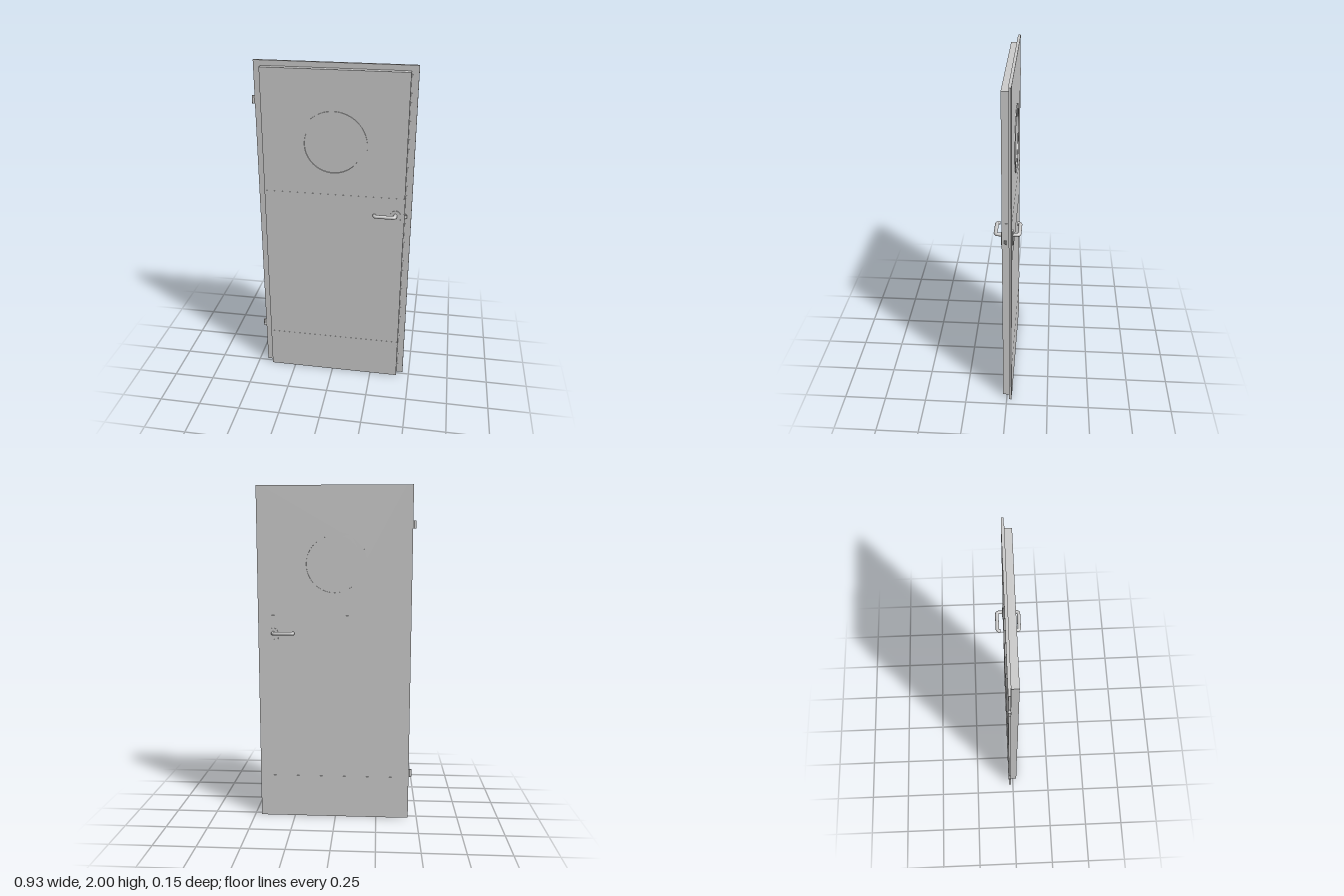
import * as THREE from 'three';
import { toCreasedNormals } from 'three/addons/utils/BufferGeometryUtils.js';

const material = new THREE.MeshStandardMaterial({ color: 0xcccccc });
const WINDOW = { x: 0.005, y: 1.55, inner: 0.165, outer: 0.193 };

function add(parent, name, geometry, x = 0, y = 0, z = 0) {
  const mesh = new THREE.Mesh(geometry, material);
  mesh.name = name;
  mesh.position.set(x, y, z);
  parent.add(mesh);
  return mesh;
}

// Box given by its limits on each axis
function block(parent, name, [x0, x1], [y0, y1], [z0, z1]) {
  return add(parent, name, new THREE.BoxGeometry(x1 - x0, y1 - y0, z1 - z0),
    (x0 + x1) / 2, (y0 + y1) / 2, (z0 + z1) / 2);
}

// Flat shape extruded between two depths, smooth round a curve, sharp at the rims
function slab(parent, name, shape, z0, z1) {
  const geometry = new THREE.ExtrudeGeometry(shape, { depth: z1 - z0, bevelEnabled: false, curveSegments: 48 });
  return add(parent, name, toCreasedNormals(geometry, 0.5), 0, 0, z0);
}

function circlePath(radius, Type = THREE.Path) {
  return new Type().absarc(WINDOW.x, WINDOW.y, radius, 0, Math.PI * 2, false);
}

// Rectangular door leaf with the round window cut out
function leafShape(x0, x1, top) {
  const shape = new THREE.Shape([
    new THREE.Vector2(x0, 0), new THREE.Vector2(x1, 0),
    new THREE.Vector2(x1, top), new THREE.Vector2(x0, top),
  ]);
  shape.holes.push(circlePath(0.18));
  return shape;
}

// Lever bent out of the door, along it, and back; side is +1 front, -1 back
function addHandle(parent, side) {
  const handle = new THREE.Group();
  handle.name = side > 0 ? 'frontHandle' : 'backHandle';
  handle.position.z = -0.002;
  parent.add(handle);

  // Oblong rose plate carrying lever and lock cylinder
  const rose = new THREE.Shape();
  rose.absarc(0.37, 1.145, 0.029, 0, Math.PI, false);
  rose.absarc(0.37, 1.11, 0.029, Math.PI, Math.PI * 2, false);
  rose.closePath();
  slab(handle, 'rose', rose, side > 0 ? 0.025 : -0.032, side > 0 ? 0.032 : -0.025);

  const p = (x, z) => new THREE.Vector3(x, 1.145, z * side);
  const path = new THREE.CurvePath();
  path.add(new THREE.LineCurve3(p(0.37, 0.025), p(0.37, 0.05)));
  path.add(new THREE.QuadraticBezierCurve3(p(0.37, 0.05), p(0.37, 0.065), p(0.355, 0.065)));
  path.add(new THREE.LineCurve3(p(0.355, 0.065), p(0.263, 0.065)));
  path.add(new THREE.QuadraticBezierCurve3(p(0.263, 0.065), p(0.25, 0.065), p(0.25, 0.052)));
  path.add(new THREE.LineCurve3(p(0.25, 0.052), p(0.25, 0.047)));
  add(handle, 'lever', new THREE.TubeGeometry(path, 64, 0.0105, 20));

  const cap = add(handle, 'leverEnd', new THREE.CircleGeometry(0.0105, 20), 0.25, 1.145, 0.047 * side);
  if (side > 0) cap.rotation.y = Math.PI;

  // Lock cylinder
  const lock = add(handle, 'lockCylinder', new THREE.CylinderGeometry(0.009, 0.009, 0.006, 24), 0.37, 1.1, 0.03 * side);
  lock.rotation.x = Math.PI / 2;
}

export function createModel() {
  const door = new THREE.Group();
  door.name = 'door';

  // Leaf: thick front body and wider rebated back sheet
  slab(door, 'frontLeaf', leafShape(-0.405, 0.42, 1.97), -0.013, 0.0245);
  slab(door, 'backLeaf', leafShape(-0.41, 0.427, 2), -0.029, -0.013);
  block(door, 'hingeSideRebate', [-0.447, -0.41], [0, 2], [-0.028, -0.015]);
  block(door, 'lockSideRebate', [0.427, 0.46], [0, 2], [-0.028, -0.015]);

  // Thin protective plates on both faces
  for (const [name, range] of [['kickPlate', [0.001, 0.26]], ['middlePlate', [1.0, 1.25]]]) {
    block(door, name + 'Front', [-0.4045, 0.4195], range, [0.024, 0.0255]);
    block(door, name + 'Back', [-0.4095, 0.4265], range, [-0.03, -0.0285]);
  }

  // Round window
  const ring = circlePath(WINDOW.outer, THREE.Shape);
  ring.holes.push(circlePath(WINDOW.inner));
  slab(door, 'windowRingFront', ring, 0.022, 0.03);
  slab(door, 'windowRingBack', ring, -0.034, -0.026);
  slab(door, 'windowPane', circlePath(0.18, THREE.Shape), -0.027, 0.023);

  // Handles
  addHandle(door, 1);
  addHandle(door, -1);

  // Lock edge plate with a wedge-shaped latch
  block(door, 'lockPlate', [0.418, 0.4225], [1.0, 1.245], [-0.006, 0.018]);
  const wedge = new THREE.Shape([
    new THREE.Vector2(0.42, 0), new THREE.Vector2(0.435, 0), new THREE.Vector2(0.42, -0.015),
  ]);
  const latch = add(door, 'latch',
    new THREE.ExtrudeGeometry(wedge, { depth: 0.02, bevelEnabled: false }), 0, 1.12, 0);
  latch.rotation.x = -Math.PI / 2;

  // Hinges
  for (const [name, y] of [['lowerHinge', 0.288], ['upperHinge', 1.777]]) {
    const hinge = new THREE.Group();
    hinge.name = name;
    hinge.position.y = y;
    door.add(hinge);
    add(hinge, 'pin', new THREE.CylinderGeometry(0.0075, 0.0075, 0.046, 24), -0.4575, 0, -0.0225);
    block(hinge, 'strap', [-0.455, -0.44], [-0.023, 0.023], [-0.026, -0.019]);
  }

  return door;
}
